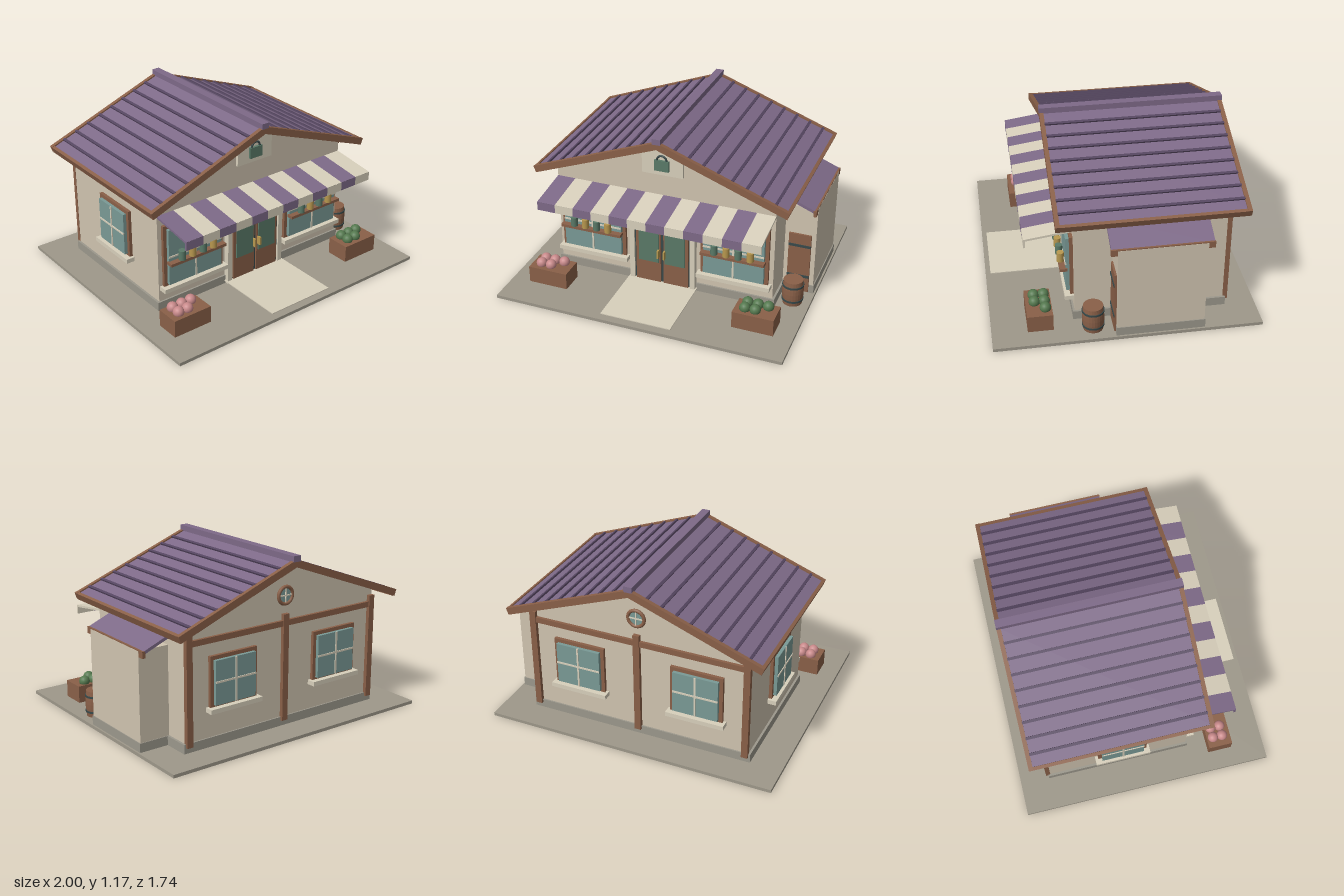
import * as THREE from 'three';

const mat = (color) => new THREE.MeshStandardMaterial({ color });
const M = {
  wall: mat(0xd0c4b0), trim: mat(0xd8d0bc), wood: mat(0x8a6048), purple: mat(0x7e6a88),
  batten: mat(0x54455f), stone: mat(0x9c988c), ground: mat(0x9e988a), glass: mat(0x7a9a96),
  green: mat(0x5a7a68), metal: mat(0x38494a), gold: mat(0xb8984f), pink: mat(0xc8898a), leaf: mat(0x55794f),
};

function add(parent, name, geo, material, x = 0, y = 0, z = 0) {
  const m = new THREE.Mesh(geo, material);
  m.name = name;
  m.position.set(x, y, z);
  parent.add(m);
  return m;
}

// box given by its minimum and maximum corners
function box(parent, name, material, x0, x1, y0, y1, z0, z1) {
  return add(parent, name, new THREE.BoxGeometry(x1 - x0, y1 - y0, z1 - z0), material,
    (x0 + x1) / 2, (y0 + y1) / 2, (z0 + z1) / 2);
}

function group(parent, name, x = 0, y = 0, z = 0, ry = 0) {
  const g = new THREE.Group();
  g.name = name;
  g.position.set(x, y, z);
  g.rotation.y = ry;
  parent.add(g);
  return g;
}

// window facing local +z, centred on its origin
function addWindow(parent, name, x, y, z, ry, w, h) {
  const g = group(parent, name, x, y, z, ry);
  const a = w / 2, b = h / 2;
  box(g, 'windowFrame', M.wood, -a, a, -b, b, -0.01, 0.022);
  box(g, 'windowGlass', M.glass, -a + 0.025, a - 0.025, -b + 0.015, b - 0.025, 0.02, 0.045);
  box(g, 'verticalMuntin', M.trim, -0.006, 0.006, -b + 0.015, b - 0.025, 0.04, 0.05);
  box(g, 'horizontalMuntin', M.trim, -a + 0.025, a - 0.025, -0.006, 0.006, 0.04, 0.05);
  box(g, 'windowSill', M.trim, -a - 0.02, a + 0.02, -b - 0.03, -b, -0.01, 0.06);
  return g;
}

function addWalls(root) {
  box(root, 'groundSlab', M.ground, -1, 1, 0, 0.022, -0.87, 0.87);
  box(root, 'foundation', M.stone, -0.785, 0.785, 0.02, 0.083, -0.67, 0.337);
  const s = new THREE.Shape();
  [[-0.77, 0.03], [0.77, 0.03], [0.77, 0.825], [0, 1.11], [-0.77, 0.825]]
    .forEach(([x, y], i) => (i ? s.lineTo(x, y) : s.moveTo(x, y)));
  add(root, 'gabledWalls', new THREE.ExtrudeGeometry(s, { depth: 0.985, bevelEnabled: false }), M.wall, 0, 0, -0.66);
}

function addRoof(root) {
  const roof = group(root, 'roof', 0, 1.1, -0.165);
  for (const turn of [0, Math.PI]) {
    const side = group(group(roof, 'roofSide', 0, 0, 0, turn), 'roofSlope');
    side.rotation.z = -0.357;
    box(side, 'roofPanel', M.purple, 0, 0.915, 0.008, 0.038, -0.6, 0.6);
    for (let i = 0; i < 8; i++) {
      const x = 0.105 + i * 0.103;
      box(side, 'roofBatten', M.batten, x - 0.009, x + 0.009, 0.035, 0.049, -0.585, 0.585);
    }
    for (const z of [-0.61, 0.582]) box(side, 'bargeBoard', M.wood, -0.016, 0.93, 0, 0.047, z, z + 0.028);
    box(side, 'eaveFascia', M.wood, 0.908, 0.93, -0.003, 0.045, -0.6, 0.6);
  }
  box(roof, 'ridgeCap', M.purple, -0.028, 0.028, 0.035, 0.074, -0.611, 0.611);
}

function addAwning(root) {
  const awning = group(root, 'awning');
  const w = 1.54 / 12;
  for (let i = 0; i < 12; i++) {
    const x = -0.77 + i * w, m = i % 2 ? M.trim : M.purple;
    const top = add(awning, 'awningStripe', new THREE.BoxGeometry(w, 0.014, 0.315), m, x + w / 2, 0.685, 0.479);
    top.rotation.x = 0.138;
    box(awning, 'awningValance', m, x, x + w, 0.61, 0.668, 0.624, 0.636);
  }
}

function addShopFront(root) {
  for (const x of [-0.505, 0.505]) {
    const g = addWindow(root, 'shopWindow', x, 0.415, 0.325, 0, 0.47, 0.44);
    box(g, 'displayShelf', M.wood, -0.22, 0.22, -0.05, -0.03, 0.035, 0.085);
    for (let i = 0; i < 4; i++) {
      add(g, 'shelfJar', new THREE.CylinderGeometry(0.024, 0.024, 0.067, 16), i % 2 ? M.gold : M.green,
        -0.125 + i * 0.083, 0.004, 0.07);
    }
  }
  // double door
  const door = group(root, 'doubleDoor');
  box(door, 'doorFrame', M.metal, -0.2, 0.2, 0.025, 0.57, 0.32, 0.35);
  box(door, 'doorLintel', M.trim, -0.24, 0.24, 0.57, 0.602, 0.32, 0.375);
  for (const s of [-1, 1]) {
    const part = (name, m, a, b, y0, y1, z0, z1) =>
      box(door, name, m, Math.min(s * a, s * b), Math.max(s * a, s * b), y0, y1, z0, z1);
    part('doorJamb', M.trim, 0.2, 0.235, 0.025, 0.57, 0.32, 0.365);
    part('doorLeaf', M.wood, 0.01, 0.188, 0.03, 0.557, 0.34, 0.362);
    part('doorGlass', M.green, 0.022, 0.165, 0.205, 0.49, 0.355, 0.37);
    part('doorHandle', M.gold, 0.016, 0.028, 0.25, 0.31, 0.362, 0.392);
  }
  box(root, 'doorMat', M.trim, -0.245, 0.245, 0.041, 0.047, 0.335, 0.838);
  // gable sign with a bag shape
  const sign = group(root, 'gableSign', 0, 0, 0.325);
  box(sign, 'signBoard', M.trim, -0.142, 0.142, 0.87, 1.04, -0.01, 0.018);
  box(sign, 'signBag', M.green, -0.05, 0.05, 0.905, 0.98, 0.01, 0.035);
  add(sign, 'signBagHandle', new THREE.TorusGeometry(0.033, 0.007, 8, 20, Math.PI), M.metal, 0, 0.98, 0.026);
}

function addAnnex(root) {
  const annex = group(root, 'sideAnnex');
  box(annex, 'annexWalls', M.wall, 0.76, 0.982, 0.03, 0.675, -0.485, 0.08);
  box(annex, 'annexFoundation', M.stone, 0.76, 0.988, 0.02, 0.083, -0.49, 0.085);
  const panel = add(annex, 'annexRoof', new THREE.BoxGeometry(0.235, 0.02, 0.645), M.purple, 0.868, 0.711, -0.203);
  panel.rotation.z = -0.38;
  box(annex, 'annexFascia', M.wood, 0.96, 0.981, 0.638, 0.682, -0.528, 0.122);
  box(annex, 'annexDoor', M.wood, 0.8, 0.952, 0.03, 0.47, 0.075, 0.094);
  for (const y of [0.385, 0.15]) box(annex, 'annexDoorStrap', M.metal, 0.8, 0.952, y - 0.009, y + 0.009, 0.09, 0.099);
}

function addBack(root) {
  for (const x of [-0.415, 0.415]) addWindow(root, 'backWindow', x, 0.45, -0.66, Math.PI, 0.36, 0.33);
  addWindow(root, 'sideWindow', -0.77, 0.455, -0.14, -Math.PI / 2, 0.34, 0.335);
  for (const x of [-0.75, 0, 0.75]) box(root, 'backPost', M.wood, x - 0.022, x + 0.022, 0.06, 0.78, -0.686, -0.655);
  box(root, 'backBeam', M.wood, -0.75, 0.75, 0.7, 0.738, -0.68, -0.655);
  // round gable window
  const g = group(root, 'roundWindow', 0, 0.9, -0.665, Math.PI);
  add(g, 'roundWindowFrame', new THREE.TorusGeometry(0.056, 0.012, 8, 28), M.wood, 0, 0, 0.006);
  add(g, 'roundWindowGlass', new THREE.CylinderGeometry(0.055, 0.055, 0.014, 28), M.glass).rotation.x = Math.PI / 2;
  box(g, 'roundWindowBar', M.trim, -0.05, 0.05, -0.004, 0.004, 0, 0.013);
  box(g, 'roundWindowBar', M.trim, -0.004, 0.004, -0.05, 0.05, 0, 0.013);
}

function addYard(root) {
  for (const s of [-1, 1]) {
    const planter = group(root, s < 0 ? 'flowerPlanter' : 'shrubPlanter', s * 0.73, 0, 0.556);
    box(planter, 'planterBox', M.wood, -0.14, 0.14, 0.02, 0.14, -0.083, 0.083);
    for (let i = 0; i < 5; i++) {
      add(planter, 'plantBall', new THREE.SphereGeometry(0.037, 16, 12), s < 0 ? M.pink : M.leaf,
        -0.07 + (i % 3) * 0.07, 0.155, i < 3 ? -0.04 : 0.025);
    }
  }
  // barrel beside the annex
  const barrel = group(root, 'barrel', 0.88, 0.02, 0.22);
  const profile = [[0, 0], [0.065, 0], [0.071, 0.06], [0.072, 0.09], [0.071, 0.12], [0.065, 0.18], [0, 0.18]];
  const body = new THREE.LatheGeometry(profile.map(([x, y]) => new THREE.Vector2(x, y)), 24);
  add(barrel, 'barrelBody', body.toNonIndexed(), M.wood).geometry.computeVertexNormals();
  for (const y of [0.037, 0.143]) add(barrel, 'barrelBand', new THREE.CylinderGeometry(0.073, 0.073, 0.013, 24), M.metal, 0, y, 0);
}

export function createModel() {
  const root = new THREE.Group();
  root.name = 'shop';
  addWalls(root);
  addRoof(root);
  addAwning(root);
  addShopFront(root);
  addAnnex(root);
  addBack(root);
  addYard(root);
  return root;
}
